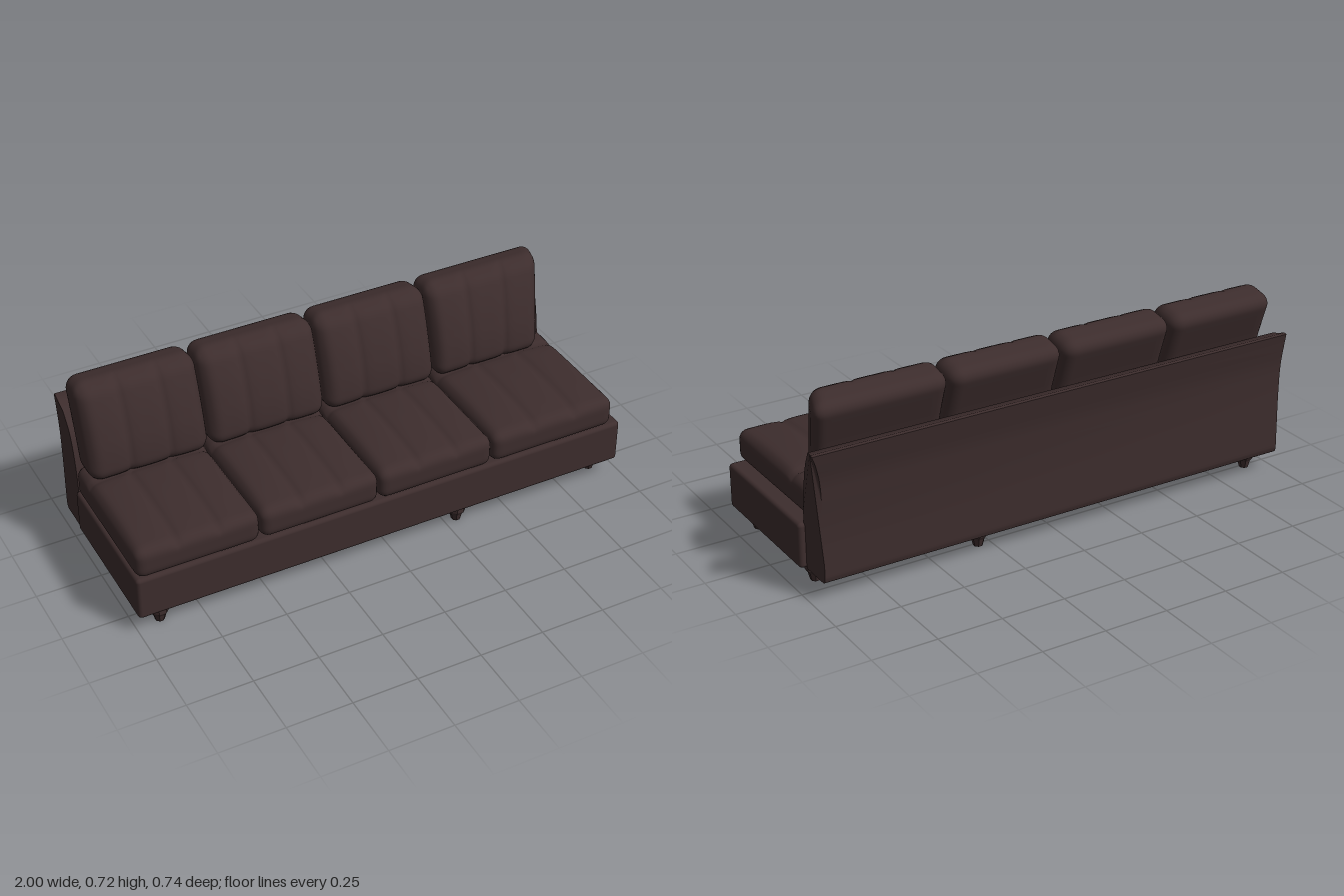
import * as THREE from 'three';
import { RoundedBoxGeometry } from 'three/addons/geometries/RoundedBoxGeometry.js';
import { mergeVertices, toCreasedNormals } from 'three/addons/utils/BufferGeometryUtils.js';

const NX = 36, NY = 36, NZ = 10;

// Moves every vertex by a rule
function warp(geo, rule) {
  const p = geo.attributes.position, v = new THREE.Vector3();
  for (let i = 0; i < p.count; i++) {
    v.fromBufferAttribute(p, i);
    rule(v);
    p.setXYZ(i, v.x, v.y, v.z);
  }
  return geo;
}

// Rounded cushion whose +z face is crowned and tufted along the given seams
function tuftedCushion(w, h, t, r, crown, rowSeams) {
  let geo = new THREE.BoxGeometry(w, h, t, NX, NY, NZ);
  geo.deleteAttribute('normal');
  geo.deleteAttribute('uv');
  geo = mergeVertices(geo, 1e-5);
  const colSeams = [-w / 6, w / 6];
  const rows = rowSeams.map((s) => Math.round((s + h / 2) / h * NY) * h / NY);
  const inner = new THREE.Vector3(), half = new THREE.Vector3(w / 2 - r, h / 2 - r, t / 2 - r);
  const groove = (d) => 0.006 * Math.exp(-((d / 0.008) ** 2)) + 0.005 * Math.exp(-((d / 0.03) ** 2));
  return warp(geo, (v) => {
    const { x, y } = v;
    const face = THREE.MathUtils.smoothstep(v.z, 0, t / 2);
    inner.copy(v).clamp(half.clone().negate(), half);
    v.sub(inner);
    if (v.lengthSq() > 0) v.setLength(r);
    v.add(inner);
    const dx = Math.min(...colSeams.map((s) => Math.abs(x - s)));
    const dy = Math.min(...rows.map((s) => Math.abs(y - s)));
    const dome = (1 - (2 * x / w) ** 4) * (1 - (2 * y / h) ** 2);
    v.z += face * (crown * dome - Math.max(groove(dx), groove(dy)));
  });
}

export function createModel() {
  const sofa = new THREE.Group();
  sofa.name = 'sofa';
  const leather = new THREE.MeshStandardMaterial({ color: 0x3d2d2d });
  leather.name = 'dark brown leather';
  const add = (name, geo, x = 0, y = 0, z = 0) => {
    const m = new THREE.Mesh(geo, leather);
    m.name = name;
    m.position.set(x, y, z);
    sofa.add(m);
    return m;
  };

  // Base
  add('base', new RoundedBoxGeometry(1.98, 0.175, 0.567, 3, 0.015), -0.01, 0.1575, 0.0785);

  // Seat cushions
  const seatEdges = [-1, -0.525, -0.055, 0.415, 0.94];
  for (let i = 0; i < 4; i++) {
    const w = seatEdges[i + 1] - seatEdges[i] - 0.003;
    const geo = tuftedCushion(w, 0.56, 0.122, 0.036, 0.018, [0.05, -0.12]);
    geo.rotateX(-Math.PI / 2);
    geo.computeVertexNormals();
    add('seatCushion', geo, (seatEdges[i] + seatEdges[i + 1]) / 2, 0.309, 0.09);
  }

  // Back cushions: leaning, thicker in the middle, the last one cut at a slant
  const backEdges = [-0.985, -0.52, -0.05, 0.415, 0.945];
  for (let i = 0; i < 4; i++) {
    const x0 = backEdges[i], w = backEdges[i + 1] - x0 - 0.003, h = 0.35;
    const geo = tuftedCushion(w, h, 0.148, 0.05, 0.012, [0.015]);
    warp(geo, (v) => {
      const k = v.y / (h / 2);
      v.z *= 1 + 0.1 * (1 - k * k);
      const lean = -0.163 - 0.31 * v.y - 0.25 * v.y * v.y;
      v.y += 0.541 + 0.22 * v.z * Math.max(0, k);
      v.z += lean;
      v.x += w / 2;
      if (i === 3) v.x *= 1 - 0.37 * (v.z + 0.27) / w;
      v.x += x0;
    });
    geo.computeVertexNormals();
    add('backCushion', geo);
  }

  // Back panel: swept profile with a flared lip at the left end
  const front = [[0.205, 0.07], [0.197, 0.2], [0.197, 0.3], [0.21, 0.4], [0.235, 0.485], [0.285, 0.55]];
  const rear = [[0.367, 0.572], [0.357, 0.52], [0.343, 0.43], [0.34, 0.3], [0.343, 0.15], [0.343, 0.085], [0.33, 0.07]];
  const vecs = (a) => a.map(([x, y]) => new THREE.Vector2(x, y));
  const profile = new THREE.Shape();
  profile.moveTo(0.205, 0.07);
  profile.splineThru(vecs(front.slice(1)));
  profile.lineTo(0.325, 0.563);
  profile.lineTo(0.355, 0.575);
  profile.lineTo(0.367, 0.572);
  profile.splineThru(vecs(rear.slice(1)));
  profile.closePath();
  const panel = new THREE.ExtrudeGeometry(profile, { depth: 1.945, bevelEnabled: false, curveSegments: 4 });
  panel.rotateY(Math.PI / 2);
  warp(panel, (v) => {
    if (v.x < 1) return;
    const t = THREE.MathUtils.clamp((v.y - 0.38) / 0.195, 0, 1);
    const s = THREE.MathUtils.clamp((-v.z - 0.2) / 0.165, 0, 1);
    v.x += 0.043 * t * t * s;
  });
  add('backPanel', toCreasedNormals(panel, 0.7), -0.99);

  // Legs: faceted block tapering to a narrow foot
  const legProfile = [[0, 0], [0.018, 0], [0.026, 0.03], [0.036, 0.045], [0.036, 0.075], [0, 0.075]];
  const legGeo = toCreasedNormals(
    new THREE.LatheGeometry(legProfile.map(([x, y]) => new THREE.Vector2(x, y)), 8, Math.PI / 8), 0.1);
  const legSpots = [[-0.905, 0.31], [0.3, 0.31], [0.91, 0.277], [-0.905, -0.26], [0.3, -0.26], [0.91, -0.175]];
  for (const [x, z] of legSpots) add('leg', legGeo, x, 0, z);

  return sofa;
}
